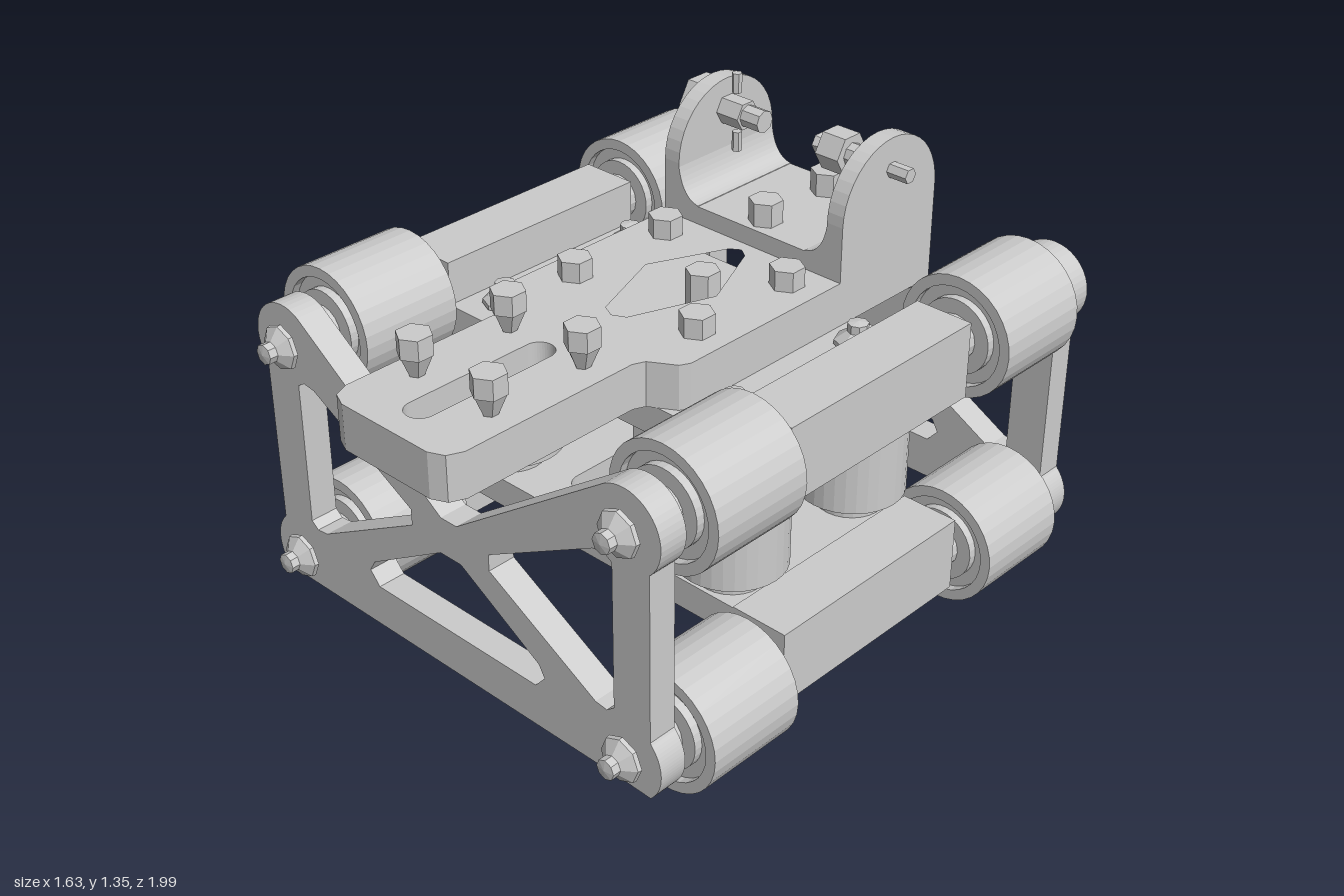
import * as THREE from 'three';

const MID = -0.053; // z of the chassis symmetry plane

export function createModel() {
  const model = new THREE.Group();
  const mat = new THREE.MeshStandardMaterial({ color: 0xcccccc, flatShading: true });

  const add = (name, geo, x = 0, y = 0, z = 0) => {
    const m = new THREE.Mesh(geo, mat);
    m.name = name;
    m.position.set(x, y, z);
    model.add(m);
    return m;
  };
  const box = (name, x0, x1, y0, y1, z0, z1) =>
    add(name, new THREE.BoxGeometry(x1 - x0, y1 - y0, z1 - z0), (x0 + x1) / 2, (y0 + y1) / 2, (z0 + z1) / 2);
  // cylinder between two coordinates along an axis
  const rod = (name, axis, r, a, b, x, y, z, n = 24, r2 = r) => {
    const g = new THREE.CylinderGeometry(r2, r, b - a, n);
    if (axis === 'x') g.rotateZ(-Math.PI / 2);
    if (axis === 'z') g.rotateX(Math.PI / 2);
    const m = add(name, g, x, y, z);
    m.position[axis] = (a + b) / 2;
    return m;
  };
  const lathe = (pts, n) => new THREE.LatheGeometry(pts.map(p => new THREE.Vector2(...p)), n);
  const poly = (pts, C = THREE.Shape) => new C(pts.map(p => new THREE.Vector2(...p)));
  const extrude = (shape, depth) =>
    new THREE.ExtrudeGeometry(shape, { depth, bevelEnabled: false, curveSegments: 10 });
  // plan shapes use (x, -z) and rise from y
  const slab = (name, shape, y0, y1) => add(name, extrude(shape, y1 - y0).rotateX(-Math.PI / 2), 0, y0, 0);
  // side shapes use (-z, y) and run along x
  const sideSlab = (name, shape, x0, x1) => add(name, extrude(shape, x1 - x0).rotateY(Math.PI / 2), x0, 0, 0);
  const slot = (x, z0, z1, r) => {
    const p = new THREE.Path();
    p.absarc(x, -z0 - r, r, 0, Math.PI);
    p.absarc(x, -z1 + r, r, Math.PI, Math.PI * 2);
    p.closePath();
    return p;
  };

  // pointed bolt head, base at origin, pointing up
  const boltHead = () => lathe([[0, 0], [0.035, 0], [0.067, 0.012], [0.065, 0.024], [0.03, 0.05], [0.03, 0.075], [0, 0.08]], 8);

  // roller with recessed ends and a hub
  const roller = (r, len) => {
    const h = len / 2, a = r * 0.82, b = r * 0.62;
    return lathe([[0, -h], [b, -h], [b, 0.025 - h], [a, 0.025 - h], [a, -h], [r, -h],
      [r, h], [a, h], [a, h - 0.025], [b, h - 0.025], [b, h], [0, h]], 32);
  };

  // beams, horizontal rollers and axles
  for (const x of [-0.635, 0.635]) {
    for (const y of [0.18, 0.86]) {
      const yb = y < 0.5 ? 0.095 : 0.725;
      const s = Math.sign(x);
      box('beam', Math.min(s * 0.54, s * 0.72), Math.max(s * 0.54, s * 0.72), yb, yb + 0.228, -0.417, 0.31);
      rod('axle', 'z', 0.068, MID - 0.78, MID + 0.78, x, y, 0, 16);
      for (const e of [-1, 1]) {
        add('roller', roller(0.18, 0.317).rotateX(Math.PI / 2), x, y, MID + e * 0.571);
        add('axleBolt', boltHead().rotateX(e * Math.PI / 2), x, y, MID + e * 0.862);
      }
    }
  }

  // end frames: triangulated plates with rounded corners
  const frame = new THREE.Shape();
  const R = 0.122;
  frame.moveTo(-0.64, 0.18 - 0.085);
  frame.lineTo(0.64, 0.18 - 0.085);
  frame.absarc(0.635, 0.18, R, -0.8, 0.75);
  frame.lineTo(0.72, 0.27);
  frame.lineTo(0.72, 0.775);
  frame.absarc(0.635, 0.86, R, -0.75, 2.1);
  frame.lineTo(0.03, 0.585);
  frame.lineTo(-0.03, 0.585);
  frame.absarc(-0.635, 0.86, R, Math.PI - 2.1, Math.PI + 0.75);
  frame.lineTo(-0.72, 0.27);
  frame.absarc(-0.635, 0.18, R, Math.PI - 0.75, Math.PI + 0.8);
  frame.closePath();
  for (const s of [-1, 1]) {
    frame.holes.push(poly([[0.595, 0.75], [0.57, 0.765], [0.53, 0.76], [0.15, 0.555], [0.15, 0.505],
      [0.53, 0.295], [0.57, 0.29], [0.595, 0.31]].map(([x, y]) => [x * s, y]), THREE.Path));
  }
  frame.holes.push(poly([[-0.31, 0.225], [0.31, 0.225], [0.345, 0.265], [0.325, 0.3],
    [0.04, 0.47], [-0.04, 0.47], [-0.325, 0.3], [-0.345, 0.265]], THREE.Path));
  add('frontFrame', extrude(frame, 0.086), 0, 0, 0.724);
  add('backFrame', extrude(frame, 0.086), 0, 0, -0.916);

  // cross plates between the beams
  const rect = [[-0.54, -0.31], [0.54, -0.31], [0.54, 0.417], [-0.54, 0.417]];
  slab('upperCrossPlate', poly(rect), 0.728, 0.82);
  const lower = poly(rect);
  for (const x of [-0.16, 0.16]) lower.holes.push(slot(x, -0.3, 0.2, 0.05));
  slab('lowerCrossPlate', lower, 0.228, 0.32);

  // vertical rollers with washers and bolts
  for (const x of [-0.432, 0.432]) {
    for (const z of [-0.303, 0.197]) {
      add('verticalRoller', roller(0.158, 0.31), x, 0.527, z);
      rod('rollerSpindle', 'y', 0.1, 0.32, 0.73, x, 0, z);
      add('spindleBoltTop', boltHead(), x, 0.815, z);
      add('spindleBoltBottom', boltHead().rotateX(Math.PI), x, 0.232, z);
    }
  }

  // central post, bored sideways, with a collar
  const bored = (shape) => {
    shape.holes.push(new THREE.Path().absarc(0.05, 0.525, 0.05, 0, Math.PI * 2));
    return shape;
  };
  sideSlab('centralPost', bored(poly([[-0.04, 0.32], [0.14, 0.32], [0.14, 0.73], [-0.04, 0.73]])), -0.09, 0.09);
  sideSlab('postCollar', bored(new THREE.Shape().absarc(0.05, 0.525, 0.125, 0, Math.PI * 2)), 0.09, 0.14);

  // small tabs on the right side
  for (const y of [0.445, 0.605]) box('frontTab', -0.45, -0.42, y - 0.02, y + 0.02, 0.34, 0.4);
  box('backTab', -0.45, -0.42, 0.585, 0.625, -0.505, -0.44);
  box('backStrip', -0.455, -0.425, 0.515, 0.525, -0.745, -0.44);

  // top mounting plate with nose, long slot and diamond opening
  const half = [[0.33, 0.75], [0.33, -0.25], [0.315, -0.28], [0.24, -0.325], [0.225, -0.36],
    [0.225, -0.93], [0.205, -0.975], [0.16, -0.995]];
  const top = poly([...half, ...half.map(([x, y]) => [-x, y]).reverse()]);
  top.holes.push(slot(0, 0.43, 0.92, 0.044));
  top.holes.push(poly([[-0.03, 0.29], [0, 0.31], [0.03, 0.29], [0.133, 0.06],
    [0.04, -0.19], [0, -0.21], [-0.04, -0.19], [-0.133, 0.06]], THREE.Path));
  slab('mountingPlate', top, 0.82, 0.955);

  // clevis bracket
  box('bracketBase', -0.33, 0.33, 0.955, 1.01, -0.75, -0.345);
  const ear = new THREE.Shape();
  ear.moveTo(0.345, 0.955);
  ear.lineTo(0.75, 0.955);
  ear.absarc(0.5475, 1.122, 0.2025, 0, Math.PI);
  ear.closePath();
  for (const s of [-1, 1]) {
    sideSlab(s > 0 ? 'leftEar' : 'rightEar', ear, s > 0 ? 0.275 : -0.33, s > 0 ? 0.33 : -0.275);
    const fillet = new THREE.Shape();
    fillet.moveTo(s * 0.28, 1.0);
    fillet.lineTo(s * 0.2, 1.0);
    fillet.lineTo(s * 0.2, 1.012);
    fillet.quadraticCurveTo(s * 0.26, 1.02, s * 0.275, 1.11);
    fillet.closePath();
    add('earFillet', extrude(fillet, 0.405), 0, 0, -0.75);
  }

  // pivot bolts through the ears
  const pz = -0.547, py = 1.23;
  rod('rightPivotHead', 'x', 0.077, -0.392, -0.33, 0, py, pz, 6);
  rod('rightPivotNut', 'x', 0.045, -0.275, -0.195, 0, py, pz, 6);
  rod('rightPivotShaft', 'x', 0.034, -0.2, -0.13, 0, py, pz, 8);
  rod('leftPivotShaft', 'x', 0.036, 0.18, 0.28, 0, py, pz, 8);
  rod('leftPivotNut', 'x', 0.063, 0.11, 0.19, 0, py, pz, 6);
  rod('leftPivotTip', 'x', 0.03, 0.07, 0.11, 0, py, pz, 6, 0.02);
  rod('leftPivotEnd', 'x', 0.023, 0.33, 0.395, 0, py, pz, 6);
  rod('pinTop', 'y', 0.015, 1.29, 1.35, -0.238, 0, pz, 6);
  rod('pinBottom', 'y', 0.015, 1.11, 1.17, -0.235, 0, pz, 6);

  // hexagonal bolts on the plate and bracket
  const hex = (x, z, y0, y1) => rod('hexBolt', 'y', 0.05, y0, y1, x, 0, z, 6);
  hex(0, -0.68, 1.01, 1.08);
  hex(0, -0.41, 1.01, 1.08);
  hex(0, -0.15, 0.82, 0.955);
  for (const x of [-1, 1]) {
    for (const z of [-0.24, 0.12]) hex(x * 0.228, z, 0.955, 1.015);
    for (const z of [0.45, 0.77]) {
      hex(x * 0.138, z, 1.015, 1.075);
      rod('boltNeck', 'y', 0.022, 0.955, 1.015, x * 0.138, 0, z, 6, 0.047);
    }
  }
  return model;
}
